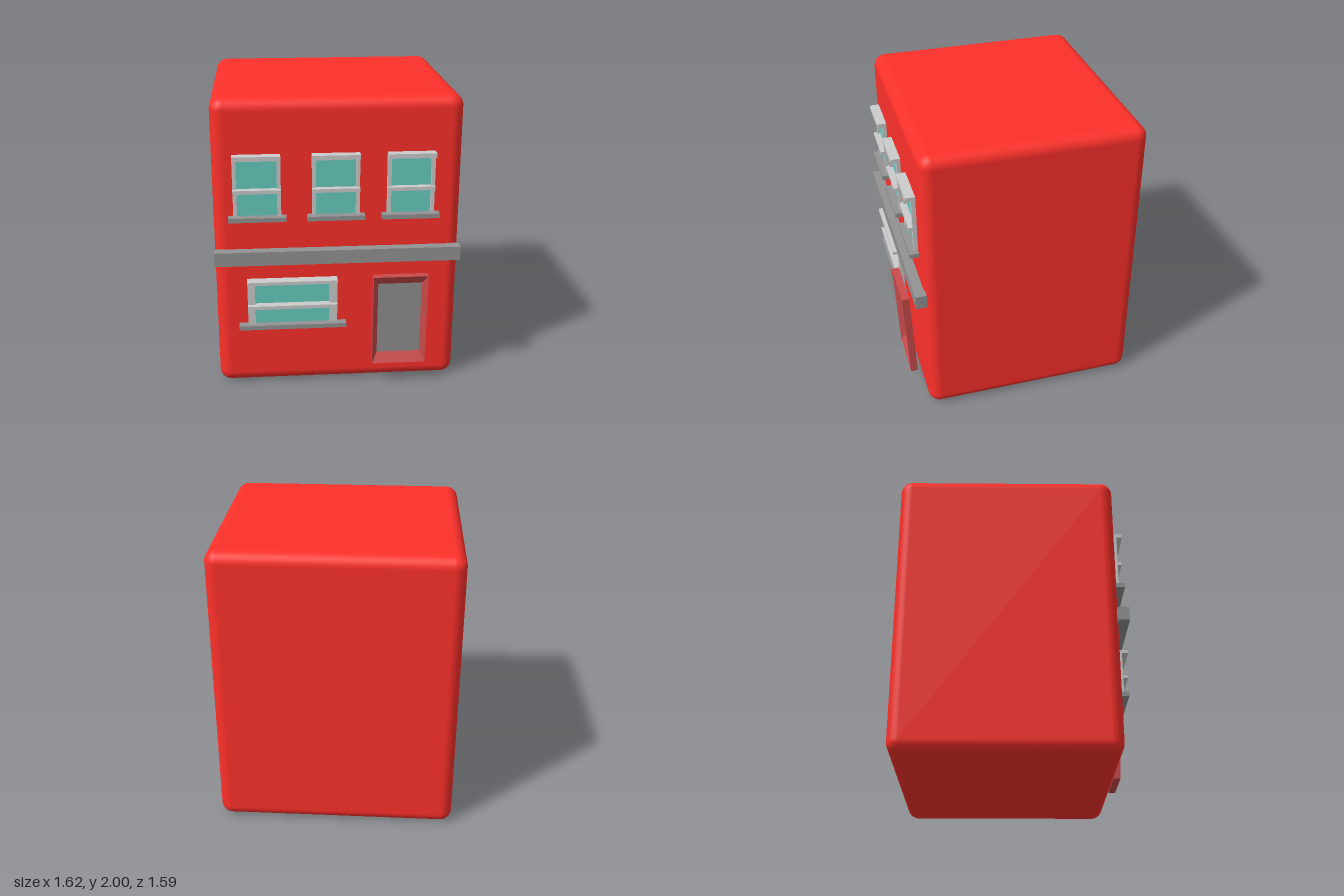
import * as THREE from 'three';
import { RoundedBoxGeometry } from 'three/addons/geometries/RoundedBoxGeometry.js';

const mat = (color) => new THREE.MeshStandardMaterial({ color });
const red = mat(0xfd302a), lightGrey = mat(0xcccccc), darkGrey = mat(0x939393);
const glass = mat(0x67ccc0), doorRed = mat(0xc94a4a);

// Box given by its extents along each axis
function box(name, [x0, x1], [y0, y1], [z0, z1], material) {
  const mesh = new THREE.Mesh(new THREE.BoxGeometry(x1 - x0, y1 - y0, z1 - z0), material);
  mesh.position.set((x0 + x1) / 2, (y0 + y1) / 2, (z0 + z1) / 2);
  mesh.name = name;
  return mesh;
}

// Sash window: pane, two posts, head, middle rail and overhanging sill
function sashWindow(name, o) {
  const g = new THREE.Group();
  g.name = name;
  const { x0, x1, y0, y1, post, bar, rail, over, z } = o;
  g.add(
    box('pane', [x0 + post / 2, x1 - post / 2], [y0, y1 - bar / 2], [0.66, 0.685], glass),
    box('leftPost', [x1 - post, x1], [y0, y1 - bar], [0.66, z.post], lightGrey),
    box('rightPost', [x0, x0 + post], [y0, y1 - bar], [0.66, z.post], lightGrey),
    box('head', [x0, x1], [y1 - bar, y1], [0.66, z.head], lightGrey),
    box('middleRail', [x0, x1], [rail, rail + 0.024], [0.66, z.rail], lightGrey),
    box('sill', [x0 - over, x1 + over], [y0 - 0.03, y0], [0.66, z.sill], darkGrey)
  );
  return g;
}

// Door surround: rectangular rings lofted from back to front rim, then sloping in to the panel
function doorSurround(w, h, d, inset) {
  const rings = [
    [w / 2 - inset, h / 2 - inset * 1.85, 0],
    [w / 2, h / 2, 0],
    [w / 2, h / 2, d],
    [w / 2 - inset, h / 2 - inset * 1.85, 0.006],
  ];
  const corner = ([a, b, z], i) => [i % 4 === 0 || i % 4 === 3 ? -a : a, i % 4 < 2 ? -b : b, z];
  const pos = [];
  for (let r = 0; r < 3; r++) {
    for (let i = 0; i < 4; i++) {
      const a = corner(rings[r], i), b = corner(rings[r], i + 1);
      const c = corner(rings[r + 1], i + 1), e = corner(rings[r + 1], i);
      pos.push(...a, ...b, ...c, ...a, ...c, ...e);
    }
  }
  const geo = new THREE.BufferGeometry();
  geo.setAttribute('position', new THREE.Float32BufferAttribute(pos, 3));
  geo.computeVertexNormals();
  return geo;
}

export function createModel() {
  const model = new THREE.Group();
  model.name = 'townHouse';

  // Soft-edged main block
  const body = new THREE.Mesh(new RoundedBoxGeometry(1.624, 2, 1.47, 6, 0.08), red);
  body.position.set(0, 1, -0.058);
  body.name = 'body';
  model.add(body);

  // Ledge between the floors
  model.add(box('ledge', [-0.812, 0.812], [0.9, 0.995], [0.67, 0.745], darkGrey));

  // Upper windows
  [-0.525, -0.014, 0.475].forEach((x, i) => {
    model.add(sashWindow('upperWindow' + (i + 1), {
      x0: x - 0.155, x1: x + 0.155, y0: 1.23, y1: 1.64, post: 0.025, bar: 0.03,
      rail: 1.39, over: 0.033, z: { post: 0.705, head: 0.742, rail: 0.73, sill: 0.74 },
    }));
  });

  // Wide ground-floor window
  model.add(sashWindow('lowerWindow', {
    x0: -0.605, x1: -0.005, y0: 0.457, y1: 0.78, post: 0.05, bar: 0.022,
    rail: 0.578, over: 0.06, z: { post: 0.71, head: 0.75, rail: 0.74, sill: 0.735 },
  }));

  // Door, leaning slightly outwards at the top
  const door = new THREE.Group();
  door.name = 'door';
  const frame = new THREE.Mesh(doorSurround(0.365, 0.655, 0.05, 0.036), doorRed);
  frame.name = 'doorFrame';
  door.add(frame, box('doorPanel', [-0.147, 0.147], [-0.262, 0.262], [0, 0.006], darkGrey));
  door.position.set(0.412, 0.488, 0.735);
  door.rotation.x = 0.046;
  model.add(door);

  return model;
}
